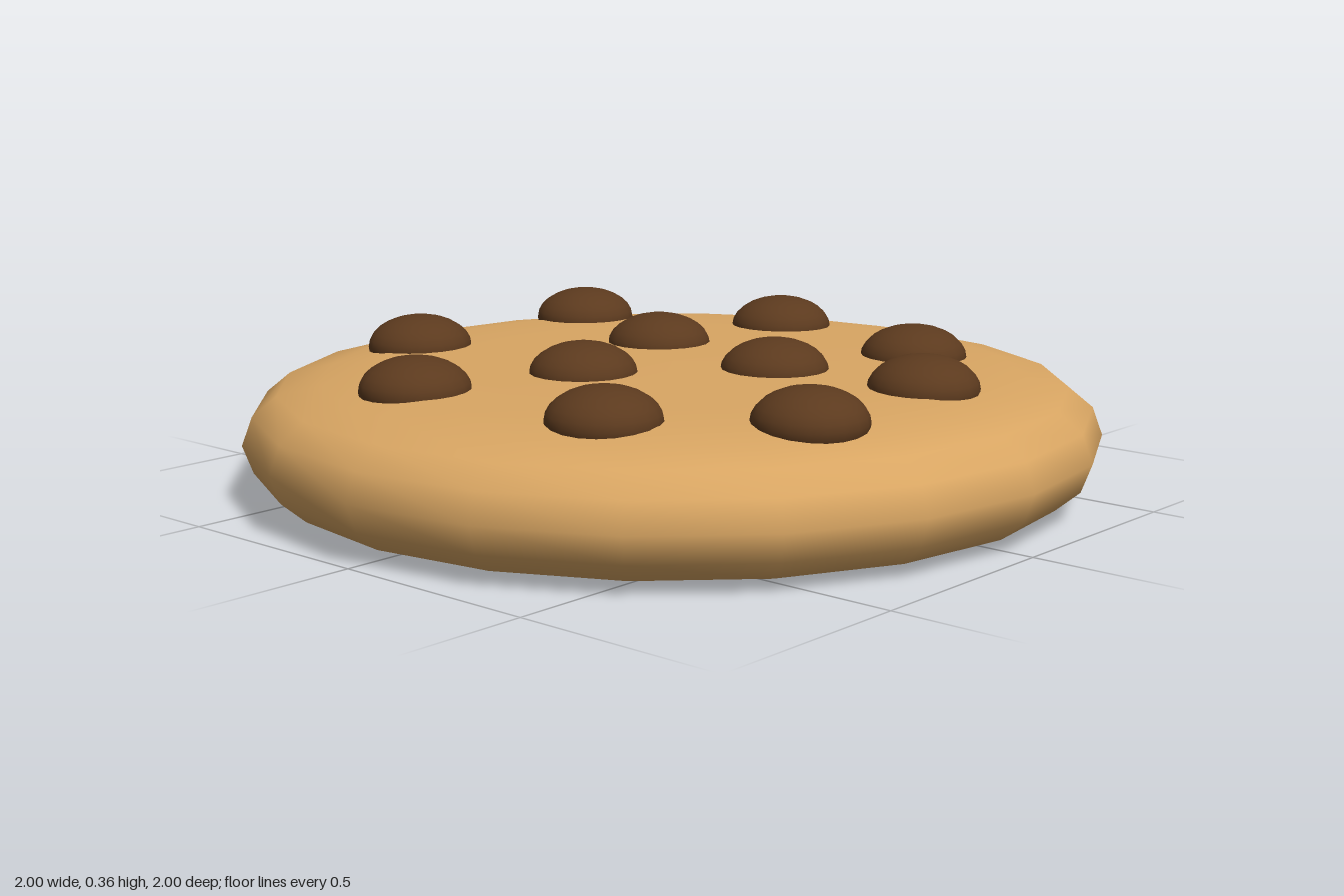
import * as THREE from 'three';

export function createModel() {
  const model = new THREE.Group();
  model.name = 'cookie';

  // Dough: a thick disc with a rounded rim, twenty sided
  const profile = [
    [0, 0], [0.8, 0.004], [0.86, 0.006], [0.92, 0.023], [0.976, 0.07], [1, 0.135],
    [0.976, 0.2], [0.92, 0.246], [0.82, 0.268], [0.7, 0.285], [0.5, 0.289], [0, 0.292],
  ].map(([r, y]) => new THREE.Vector2(r, y));
  const dough = new THREE.Mesh(
    new THREE.LatheGeometry(profile, 20),
    new THREE.MeshStandardMaterial({ color: 0xd9a663 })
  );
  dough.name = 'dough';
  model.add(dough);

  // Chocolate chips: flattened balls half sunk into the top, placed by x and z
  const chipGeometry = new THREE.SphereGeometry(0.126, 20, 14);
  chipGeometry.scale(1, 0.6, 1);
  const chipMaterial = new THREE.MeshStandardMaterial({ color: 0x5c3a1e });
  const chips = new THREE.Group();
  chips.name = 'chocolateChips';
  const spots = [
    [-0.145, -0.585], [0.365, -0.455], [-0.62, -0.35], [-0.205, -0.18],
    [0.23, -0.095], [0.61, -0.15], [-0.625, 0.23], [-0.07, 0.23],
    [0.64, 0.295], [-0.22, 0.61], [0.315, 0.57],
  ];
  spots.forEach(([x, z], i) => {
    const chip = new THREE.Mesh(chipGeometry, chipMaterial);
    chip.name = `chocolateChip${i + 1}`;
    chip.position.set(x, 0.285, z);
    chips.add(chip);
  });
  model.add(chips);

  return model;
}
